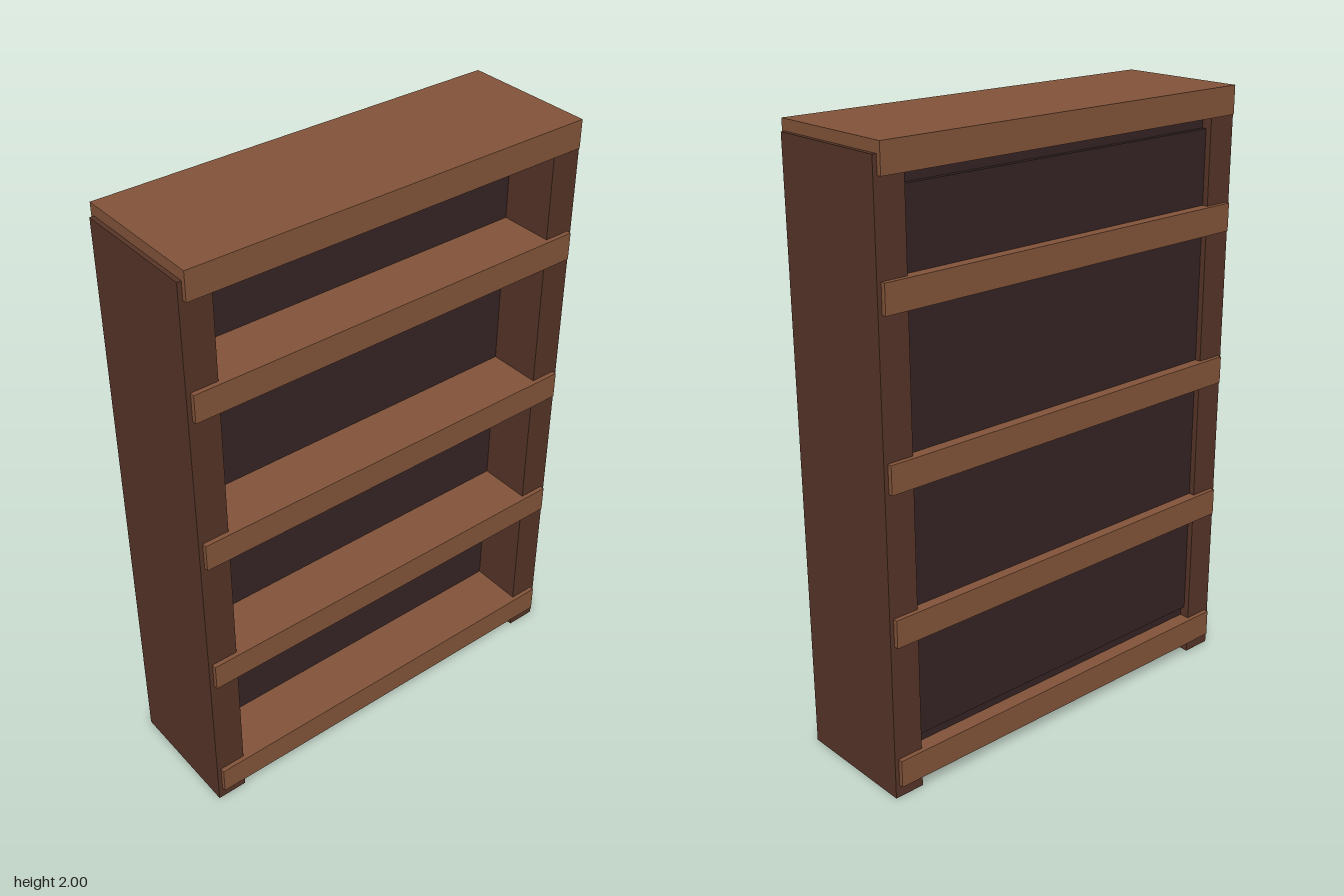
import * as THREE from 'three';

export function createModel() {
  const group = new THREE.Group();
  const material = (color) => new THREE.MeshStandardMaterial({ color, flatShading: true });
  const shelfWood = material(0x83543a);
  const sideWood = material(0x563427);
  const backWood = material(0x362424);

  // Box given by its lower and upper limits on each axis
  function board(name, mat, [x0, x1], [y0, y1], [z0, z1]) {
    const mesh = new THREE.Mesh(new THREE.BoxGeometry(x1 - x0, y1 - y0, z1 - z0), mat);
    mesh.position.set((x0 + x1) / 2, (y0 + y1) / 2, (z0 + z1) / 2);
    mesh.name = name;
    group.add(mesh);
  }

  // Upright sides
  board('leftSide', sideWood, [0.602, 0.704], [0, 1.965], [-0.21, 0.21]);
  board('rightSide', sideWood, [-0.704, -0.602], [0, 1.965], [-0.21, 0.21]);

  // Shelves and top board, standing slightly proud of the sides
  const shelfBottoms = [0.042, 0.522, 1.01, 1.533, 1.908];
  shelfBottoms.forEach((y, i) => {
    const name = i === shelfBottoms.length - 1 ? 'topBoard' : `shelf${i + 1}`;
    board(name, shelfWood, [-0.69, 0.69], [y, y + 0.092], [-0.225, 0.225]);
  });

  // Thick back with a shallow raised panel behind it
  board('backCore', backWood, [-0.61, 0.61], [0.004, 1.95], [-0.175, 0.03]);
  board('backPanel', backWood, [-0.605, 0.605], [0.17, 1.87], [-0.19, -0.17]);

  return group;
}
